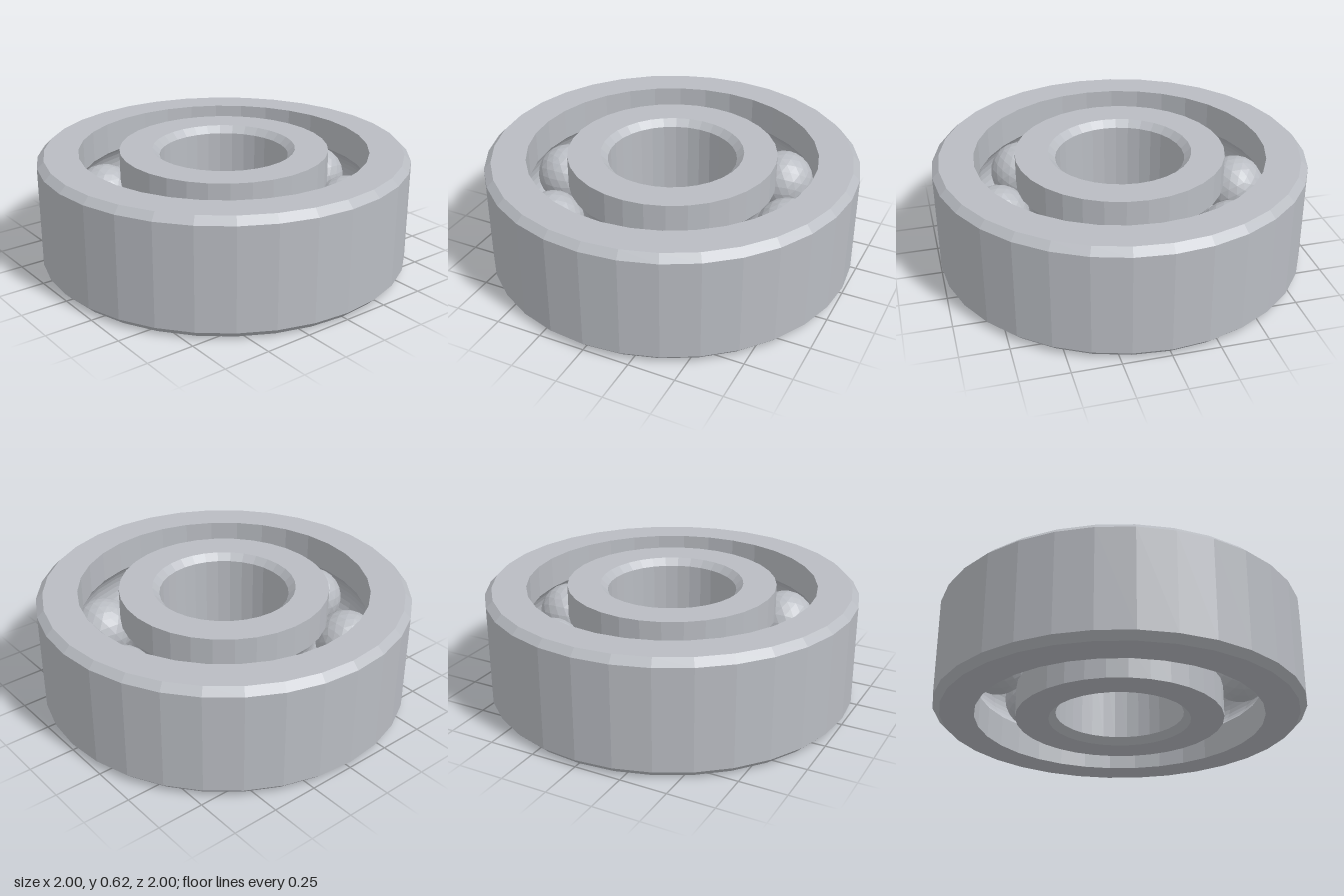
import * as THREE from 'three';

const HEIGHT = 0.62, MID = HEIGHT / 2, BEVEL = 0.037;
const PITCH = 0.67, BALL = 0.168, GROOVE = 0.174; // ball circle, ball and groove radii
const SEGMENTS = 32, BALLS = 8, GROOVE_STEPS = 10;

// Arc of the ball groove cut into a wall; side is +1 for the outer ring, -1 for the inner
function grooveArc(wallRadius, side) {
  const reach = Math.acos(Math.abs(wallRadius - PITCH) / GROOVE);
  const points = [];
  for (let i = 0; i <= GROOVE_STEPS; i++) {
    const t = reach * (1 - (2 * i) / GROOVE_STEPS) * side;
    points.push([PITCH + side * GROOVE * Math.cos(t), MID + GROOVE * Math.sin(t)]);
  }
  return points;
}

// Spins a closed (radius, height) section, listed counterclockwise, into a ring
function makeRing(name, section, material) {
  const points = [...section, section[0]].map(([r, y]) => new THREE.Vector2(r, y));
  const ring = new THREE.Mesh(new THREE.LatheGeometry(points, SEGMENTS), material);
  ring.name = name;
  return ring;
}

export function createModel() {
  const steel = new THREE.MeshStandardMaterial({ color: 0xb9bcc2, flatShading: true });
  steel.name = 'steel';
  const bearing = new THREE.Group();
  bearing.name = 'ballBearing';

  // Outer ring: bevelled outside, grooved inside
  const outer = 1, outerWall = 0.78;
  bearing.add(makeRing('outerRing', [
    [outerWall, 0], [outer - BEVEL, 0], [outer, BEVEL],
    [outer, HEIGHT - BEVEL], [outer - BEVEL, HEIGHT], [outerWall, HEIGHT],
    ...grooveArc(outerWall, 1),
  ], steel));

  // Inner ring: grooved outside, bevelled at the bore
  const bore = 0.347, innerWall = 0.562;
  bearing.add(makeRing('innerRing', [
    [bore + BEVEL, 0], [innerWall, 0],
    ...grooveArc(innerWall, -1),
    [innerWall, HEIGHT], [bore + BEVEL, HEIGHT],
    [bore, HEIGHT - BEVEL], [bore, BEVEL],
  ], steel));

  // Balls spaced evenly in the groove
  const ballGeometry = new THREE.IcosahedronGeometry(BALL, 3);
  const balls = new THREE.Group();
  balls.name = 'balls';
  for (let i = 0; i < BALLS; i++) {
    const angle = (i / BALLS) * Math.PI * 2;
    const ball = new THREE.Mesh(ballGeometry, steel);
    ball.name = 'ball';
    ball.position.set(PITCH * Math.sin(angle), MID, PITCH * Math.cos(angle));
    balls.add(ball);
  }
  bearing.add(balls);

  return bearing;
}
